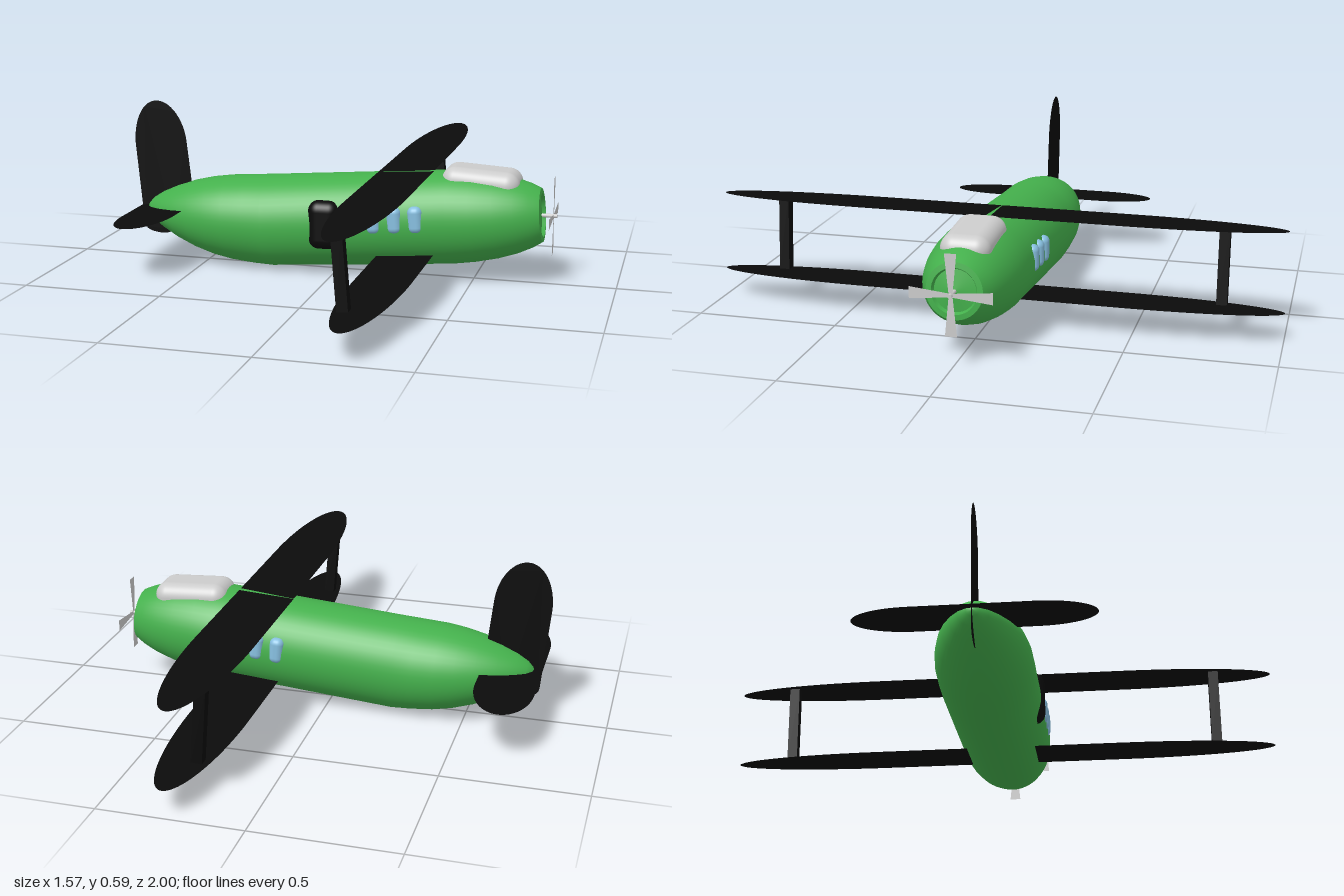
import * as THREE from 'three';
import { RoundedBoxGeometry } from 'three/addons/geometries/RoundedBoxGeometry.js';

const TILT = 0.08; // nose-up attitude shared by all surfaces
const paint = (color, side = THREE.FrontSide) => new THREE.MeshStandardMaterial({ color, side });
const green = paint(0x44b04c, THREE.DoubleSide);
const black = paint(0x0b0b0b, THREE.DoubleSide);
const blue = paint(0x87bfe0);
const grey = paint(0xcccccc, THREE.DoubleSide);

// Loft through elliptical rings [x, centreY, radiusY, radiusZ], each leaning with the tilt
function loft(rings, sides = 48) {
  const pos = [], index = [];
  rings.forEach(([x, cy, ry, rz], i) => {
    for (let j = 0; j <= sides; j++) {
      const a = (j / sides) * Math.PI * 2;
      const dy = Math.cos(a) * ry;
      pos.push(x - dy * TILT, cy + dy, Math.sin(a) * rz);
      if (i && j) {
        const d = i * (sides + 1) + j, c = d - 1, b = d - sides - 1, e = b - 1;
        index.push(e, b, c, b, d, c);
      }
    }
  });
  const g = new THREE.BufferGeometry();
  g.setAttribute('position', new THREE.Float32BufferAttribute(pos, 3));
  g.setIndex(index);
  g.computeVertexNormals();
  // share normals across the seam
  const n = g.attributes.normal, v = new THREE.Vector3(), w = new THREE.Vector3();
  rings.forEach((_, i) => {
    const a = i * (sides + 1), b = a + sides;
    v.fromBufferAttribute(n, a).add(w.fromBufferAttribute(n, b)).normalize();
    n.setXYZ(a, v.x, v.y, v.z);
    n.setXYZ(b, v.x, v.y, v.z);
  });
  return g;
}

// Thin flat surface with straight middle and elliptical tips, spanning z
function plate(halfChord, straight, halfSpan) {
  const s = new THREE.Shape();
  s.moveTo(halfChord, -straight);
  s.lineTo(halfChord, straight);
  s.absellipse(0, straight, halfChord, halfSpan - straight, 0, Math.PI, false, 0);
  s.lineTo(-halfChord, -straight);
  s.absellipse(0, -straight, halfChord, halfSpan - straight, Math.PI, Math.PI * 2, false, 0);
  return new THREE.ShapeGeometry(s, 32).rotateX(Math.PI / 2);
}

export function createModel() {
  const model = new THREE.Group();
  const add = (name, geometry, material, x = 0, y = 0, z = 0, rz = 0) => {
    const m = new THREE.Mesh(geometry, material);
    m.name = name;
    m.position.set(x, y, z);
    m.rotation.z = rz;
    model.add(m);
    return m;
  };

  // Fuselage
  add('fuselage', loft([
    [-0.735, 0.186, 0.001, 0.001], [-0.73, 0.186, 0.018, 0.022], [-0.71, 0.184, 0.041, 0.05],
    [-0.67, 0.181, 0.068, 0.08], [-0.61, 0.177, 0.098, 0.112], [-0.54, 0.173, 0.125, 0.138],
    [-0.47, 0.17, 0.144, 0.155], [-0.4, 0.168, 0.156, 0.164], [-0.32, 0.167, 0.163, 0.166],
    [-0.25, 0.168, 0.167, 0.166], [0.1, 0.196, 0.167, 0.166], [0.42, 0.2225, 0.167, 0.166],
    [0.5, 0.229, 0.161, 0.161], [0.58, 0.235, 0.149, 0.15], [0.65, 0.241, 0.132, 0.133],
    [0.7, 0.245, 0.113, 0.114], [0.736, 0.248, 0.094, 0.094],
  ]), green);
  add('noseRim', loft([[0.736, 0.248, 0.094, 0.094], [0.738, 0.248, 0.076, 0.076]]), green);
  add('noseRecess', loft([[0.738, 0.248, 0.076, 0.076], [0.725, 0.247, 0.07, 0.07]]), green);
  add('noseFace', loft([[0.725, 0.247, 0.07, 0.07], [0.735, 0.247, 0.001, 0.001]]), green);

  // Biplane wings and tailplane
  const wing = plate(0.1025, 0.45, 1);
  add('upperWing', wing, black, 0.248, 0.376, 0, TILT);
  add('lowerWing', wing, black, 0.272, 0.1, 0, TILT);
  add('tailplane', plate(0.1025, 0.2, 0.395), black, -0.662, 0.2, -0.003, TILT);

  // Wing struts
  for (const side of [-1, 1]) {
    add('wingStrut', new THREE.BoxGeometry(0.038, 0.272, 0.036), black, 0.218, 0.236, side * 0.787, TILT);
  }

  // Tail fin
  const fin = new THREE.Shape();
  fin.moveTo(-0.757, 0.125);
  fin.lineTo(-0.785, 0.43);
  fin.bezierCurveTo(-0.787, 0.52, -0.75, 0.59, -0.695, 0.59);
  fin.bezierCurveTo(-0.64, 0.59, -0.59, 0.52, -0.582, 0.44);
  fin.lineTo(-0.563, 0.27);
  fin.lineTo(-0.63, 0.11);
  fin.bezierCurveTo(-0.65, 0.09, -0.67, 0.087, -0.69, 0.087);
  fin.bezierCurveTo(-0.74, 0.092, -0.752, 0.1, -0.757, 0.125);
  add('tailFin', new THREE.ShapeGeometry(fin, 20), black);

  // Side door and cabin windows
  add('door', new RoundedBoxGeometry(0.115, 0.175, 0.12, 6, 0.038), black, -0.016, 0.197, 0.116);
  for (let i = 0; i < 3; i++) {
    add('cabinWindow', new RoundedBoxGeometry(0.052, 0.095, 0.348, 5, 0.022), blue,
      0.165 + i * 0.075, 0.227 + i * 0.006, 0, TILT);
  }

  // Cockpit canopy
  add('canopy', new RoundedBoxGeometry(0.275, 0.1, 0.17, 8, 0.048), grey, 0.522, 0.356, -0.004, -0.06);

  // Propeller
  const propeller = new THREE.Group();
  propeller.name = 'propeller';
  propeller.position.set(0.775, 0.247, 0);
  const shaft = new THREE.Mesh(new THREE.CylinderGeometry(0.007, 0.007, 0.055, 16).rotateZ(Math.PI / 2), grey);
  shaft.name = 'propellerShaft';
  shaft.position.x = -0.015;
  propeller.add(shaft);
  const blade = new THREE.Shape([[-0.006, 0], [0.006, 0], [0.02, 0.137], [-0.02, 0.137]]
    .map(([x, y]) => new THREE.Vector2(x, y)));
  const bladeGeometry = new THREE.ShapeGeometry(blade).rotateY(Math.PI / 2);
  for (let i = 0; i < 4; i++) {
    const m = new THREE.Mesh(bladeGeometry, grey);
    m.name = 'propellerBlade';
    m.rotation.x = i * Math.PI / 2;
    propeller.add(m);
  }
  model.add(propeller);
  return model;
}
